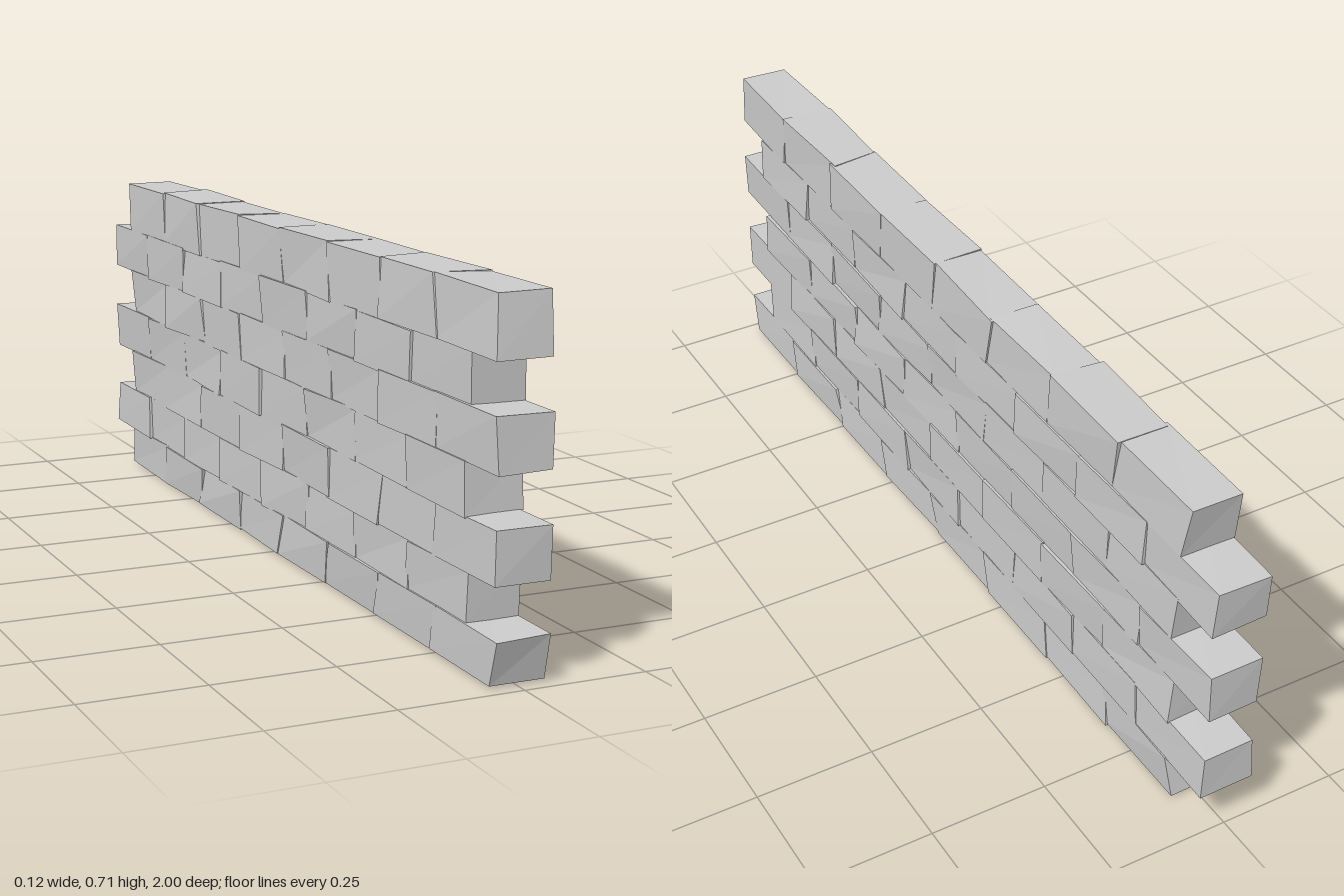
import * as THREE from 'three';

// Height of each bed joint, from the ground to the top of the wall
const BEDS = [0.008, 0.097, 0.195, 0.295, 0.397, 0.497, 0.597, 0.713];
// Each course's ends: front end z at [bottom, top], back end z at [bottom, top]
const ENDS = [
  [0.97, 0.995, -0.897, -0.88],
  [0.875, 0.88, -0.995, -0.997],
  [0.985, 0.99, -0.88, -0.88],
  [0.878, 0.872, -0.997, -0.993],
  [0.99, 0.988, -0.868, -0.878],
  [0.88, 0.88, -0.995, -0.998],
  [0.988, 0.972, -0.877, -0.893],
];
const BRICKS = 8;
const HALF_DEPTH = 0.056;

// Seeded random number in the range -1..1
function makeJitter(seed) {
  let s = seed;
  return () => {
    s = (s * 16807) % 2147483647;
    return (s / 2147483647) * 2 - 1;
  };
}

// Slightly crooked block: every corner of a box is placed by a rule
function crookedBlock(corner) {
  const geometry = new THREE.BoxGeometry(2, 2, 2);
  const pos = geometry.attributes.position;
  const cache = {};
  for (let i = 0; i < pos.count; i++) {
    const sx = pos.getX(i), sy = pos.getY(i), sz = pos.getZ(i);
    const key = `${sx},${sy},${sz}`;
    cache[key] ??= corner(sx, sy, sz);
    pos.setXYZ(i, ...cache[key]);
  }
  const flat = geometry.toNonIndexed();
  flat.computeVertexNormals();
  return flat;
}

export function createModel() {
  const wall = new THREE.Group();
  wall.name = 'brickWall';
  const material = new THREE.MeshStandardMaterial({ color: 0xcccccc, flatShading: true });
  const jitter = makeJitter(4217);

  ENDS.forEach(([frontLow, frontHigh, backLow, backHigh], row) => {
    const course = new THREE.Group();
    course.name = `course${row + 1}`;
    for (let b = 0; b < BRICKS; b++) {
      const geometry = crookedBlock((sx, sy, sz) => {
        // Position along the course, keeping the wall ends exact
        const t = (sz > 0 ? b : b + 1) / BRICKS;
        const front = sy > 0 ? frontHigh : frontLow;
        const back = sy > 0 ? backHigh : backLow;
        const isEnd = t === 0 || t === 1;
        const z = THREE.MathUtils.lerp(front, back, t) + (isEnd ? 0.003 : 0.007) * jitter() + (isEnd ? 0 : sz * 0.003);
        const y = BEDS[sy > 0 ? row + 1 : row] + 0.003 * jitter() + sy * 0.001;
        const x = sx * HALF_DEPTH + 0.005 * jitter();
        return [x, Math.max(0, y), z];
      });
      const brick = new THREE.Mesh(geometry, material);
      brick.name = `brick${row + 1}_${b + 1}`;
      course.add(brick);
    }
    wall.add(course);
  });
  return wall;
}
